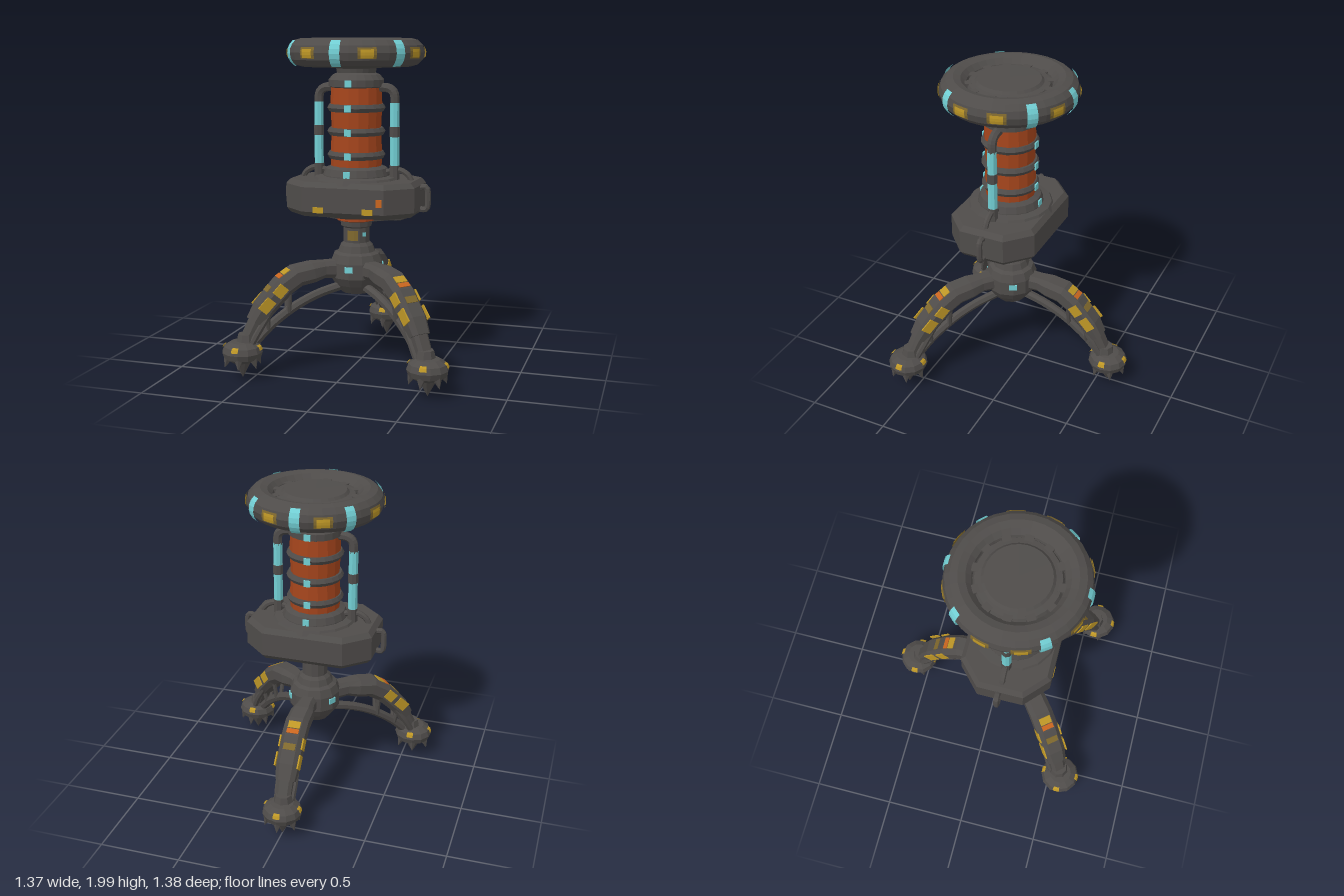
import * as THREE from 'three';

const mat = (name, color) => Object.assign(new THREE.MeshStandardMaterial({ color, flatShading: true, side: THREE.DoubleSide }), { name });
const dark = mat('dark metal', 0x4f4c4a);
const rust = mat('rust red', 0xa5451c);
const cyan = mat('cyan glow', 0x72cfd4);
const yellow = mat('worn yellow', 0xbd9626);
const dull = mat('faded yellow', 0x80692e);
const orange = mat('orange', 0xc8651f);

function add(parent, name, geo, material, x = 0, y = 0, z = 0) {
  const m = new THREE.Mesh(geo, material);
  m.name = name;
  m.position.set(x, y, z);
  parent.add(m);
  return m;
}
// Turned part from [radius, height] pairs, optionally only a sector centred on phi (0 = front)
function turned(parent, name, pts, material, seg = 24, phi = null, width = 0) {
  const v = pts.map(p => new THREE.Vector2(p[0], p[1]));
  const geo = phi === null ? new THREE.LatheGeometry(v, seg) : new THREE.LatheGeometry(v, seg, phi - width / 2, width);
  return add(parent, name, geo, material);
}
function pipe(parent, name, pts, r) {
  const c = new THREE.CatmullRomCurve3(pts.map(p => new THREE.Vector3(...p)), false, 'centripetal');
  return add(parent, name, new THREE.TubeGeometry(c, pts.length * 3, r, 7), dark);
}
// Octagonal loft in the z-y plane; stations are [z, y, halfWidth, halfThickness]
function loft(stations) {
  const pos = [], idx = [], n = 8;
  const oct = [[1, .5], [.6, 1], [-.6, 1], [-1, .5], [-1, -.5], [-.6, -1], [.6, -1], [1, -.5]];
  stations.forEach(([z, y, w, t], i) => {
    const a = stations[Math.max(0, i - 1)], b = stations[Math.min(stations.length - 1, i + 1)];
    const len = Math.hypot(b[0] - a[0], b[1] - a[1]), dz = (b[0] - a[0]) / len, dy = (b[1] - a[1]) / len;
    oct.forEach(([u, v]) => pos.push(u * w, y + v * t * dz, z - v * t * dy));
    if (i) for (let k = 0; k < n; k++) {
      const p = (i - 1) * n + k, q = (i - 1) * n + (k + 1) % n;
      idx.push(p, q, p + n, q, q + n, p + n);
    }
  });
  const last = (stations.length - 1) * n;
  for (let k = 1; k < n - 1; k++) idx.push(0, k + 1, k, last, last + k, last + k + 1);
  const g = new THREE.BufferGeometry();
  g.setAttribute('position', new THREE.Float32BufferAttribute(pos, 3));
  g.setIndex(idx);
  g.computeVertexNormals();
  return g;
}
// Points on the rounded rim of the head, from tube angle a to b in degrees
function rimArc(a, b, grow, n) {
  return Array.from({ length: n + 1 }, (_, i) => {
    const t = (a + (b - a) * i / n) * Math.PI / 180;
    return [0.322 + Math.cos(t) * (0.083 + grow), 1.905 + Math.sin(t) * (0.083 + grow)];
  });
}

function buildHead(g) {
  turned(g, 'headRing', rimArc(-180, 180, 0, 12), dark, 32);
  turned(g, 'headDish', [[0, 1.845], [0.16, 1.845], [0.25, 1.885], [0.25, 1.92], [0.235, 1.95], [0.2, 1.955], [0.185, 1.97], [0, 1.975]], dark, 28);
  turned(g, 'underGlow', [[0.15, 1.83], [0.21, 1.842], [0.275, 1.872]], cyan, 28);
  turned(g, 'grooveFloor', [[0.235, 1.89], [0.275, 1.89]], dark, 28);
  for (let i = 0; i < 12; i++) {
    const a = i * Math.PI / 6;
    add(g, 'headBracket', new THREE.BoxGeometry(0.05, 0.025, 0.06), dark, Math.sin(a) * 0.245, 1.94, Math.cos(a) * 0.245).rotation.y = a;
  }
  for (const d of [0, 55, -55, 134, -134, 180])
    turned(g, 'rimLight', rimArc(-58, 52, 0.008, 6), cyan, 3, d * Math.PI / 180, 0.15);
  // Faded patches with a brighter middle
  for (const d of [26, 74, 106, 157]) for (const s of [1, -1]) {
    const phi = s * d * Math.PI / 180;
    turned(g, 'rimMarkEdge', rimArc(-22, 22, 0.004, 3), dull, 3, phi, 0.27);
    turned(g, 'rimMark', rimArc(-18, 14, 0.007, 3), yellow, 3, phi, 0.18);
  }
}

function buildColumn(g) {
  turned(g, 'core', [[0.15, 1.18], [0.155, 1.3], [0.148, 1.45], [0.155, 1.6], [0.15, 1.72]], rust, 16);
  turned(g, 'topCollar', [[0.14, 1.695], [0.165, 1.705], [0.165, 1.745], [0.14, 1.775], [0.115, 1.785], [0.12, 1.81], [0.15, 1.84]], dark, 20);
  turned(g, 'bottomCollar', [[0.2, 1.15], [0.2, 1.18], [0.185, 1.22], [0.15, 1.235]], dark, 20);
  for (const y of [1.3, 1.44, 1.58]) {
    const ring = add(g, 'coreRing', new THREE.TorusGeometry(0.148, 0.026, 6, 20), dark, 0, y, 0);
    ring.rotation.x = Math.PI / 2;
  }
  for (const y of [1.195, 1.3, 1.44, 1.58, 1.725]) for (const s of [1, -1])
    add(g, 'ringLight', new THREE.BoxGeometry(0.04, 0.04, 0.009), cyan, 0, y, s * (y < 1.2 ? 0.195 : y > 1.7 ? 0.164 : 0.172));
  // Side tubes with glowing sections
  for (const s of [1, -1]) {
    pipe(g, 'tubeElbow', [[s * 0.13, 1.7, 0], [s * 0.2, 1.695, 0], [s * 0.23, 1.67, 0], [s * 0.237, 1.6, 0]], 0.028);
    for (const [y0, y1, m] of [[1.24, 1.41, cyan], [1.41, 1.47, dark], [1.47, 1.61, cyan], [1.13, 1.24, dark]]) {
      const r = m === cyan ? 0.029 : 0.032;
      add(g, m === cyan ? 'glowTube' : 'tubeSleeve', new THREE.CylinderGeometry(r, r, y1 - y0, 8), m, s * 0.237, (y0 + y1) / 2, 0);
    }
    pipe(g, 'tubeFoot', [[s * 0.19, 1.2, 0], [s * 0.26, 1.215, 0], [s * 0.32, 1.185, 0], [s * 0.35, 1.13, 0]], 0.018);
  }
}

function buildBody(g) {
  // Elongated octagonal housing
  const outline = [[0.37, -0.13], [0.37, 0.13], [0.24, 0.25], [-0.24, 0.25], [-0.37, 0.13], [-0.37, -0.13], [-0.24, -0.25], [0.24, -0.25]];
  const shape = new THREE.Shape(outline.map(p => new THREE.Vector2(...p)));
  const geo = new THREE.ExtrudeGeometry(shape, { depth: 0.145, bevelThickness: 0.03, bevelSize: 0.026, bevelSegments: 1 });
  geo.rotateX(-Math.PI / 2);
  add(g, 'housing', geo, dark, 0, 0.982, 0);
  turned(g, 'housingCap', [[0.27, 1.14], [0.25, 1.17], [0.17, 1.18]], dark, 16);
  for (const s of [1, -1]) {
    pipe(g, 'handle', [[s * 0.38, 1.11, -0.01], [s * 0.43, 1.115, -0.01], [s * 0.44, 1.05, -0.01], [s * 0.43, 0.985, -0.01], [s * 0.38, 0.985, -0.01]], 0.018);
    pipe(g, 'lowerPipe', [[s * 0.32, 0.97, 0], [s * 0.29, 0.935, 0], [s * 0.2, 0.925, 0], [s * 0.08, 0.91, 0]], 0.02);
    add(g, 'housingMark', new THREE.BoxGeometry(0.065, 0.035, 0.008), yellow, s * 0.15, 0.995, 0.275);
  }
  add(g, 'housingLight', new THREE.BoxGeometry(0.035, 0.045, 0.008), orange, 0.22, 1.05, 0.276);
  // Neck and hub
  turned(g, 'lowerPlate', [[0.11, 0.925], [0.17, 0.93], [0.22, 0.96]], dark, 16);
  turned(g, 'neckBand', [[0.1, 0.9], [0.122, 0.907], [0.122, 0.928], [0.1, 0.933]], rust, 16);
  turned(g, 'neck', [[0.12, 0.7], [0.1, 0.75], [0.08, 0.77], [0.08, 0.86], [0.095, 0.87], [0.1, 0.91]], dark, 12);
  turned(g, 'neckMark', [[0.084, 0.785], [0.084, 0.845]], dull, 3, 0, 0.8);
  turned(g, 'neckLight', [[0.084, 0.81], [0.084, 0.835]], cyan, 2, 0.9, 0.3);
  turned(g, 'hub', [[0, 0.455], [0.09, 0.46], [0.13, 0.51], [0.16, 0.56], [0.16, 0.65], [0.14, 0.7], [0.09, 0.725], [0, 0.73]], dark, 12);
  // Hub lights sit between the legs
  for (const a of [0, 2.09, -2.09])
    add(g, 'hubLight', new THREE.BoxGeometry(0.05, 0.035, 0.009), cyan, Math.sin(a) * 0.159, 0.62, Math.cos(a) * 0.159).rotation.y = a;
}

// Leg built along +z, foot at z = reach, then turned by angle
function buildLeg(reach, angle) {
  const leg = new THREE.Group();
  leg.name = 'leg';
  leg.rotation.y = angle;
  const limb = new THREE.Group();
  limb.name = 'limb';
  limb.scale.z = reach / 0.675;
  leg.add(limb);
  add(limb, 'upperLeg', loft([[0.1, 0.61, 0.055, 0.055], [0.2, 0.615, 0.055, 0.05], [0.27, 0.605, 0.07, 0.06], [0.36, 0.59, 0.072, 0.062],
    [0.44, 0.535, 0.072, 0.06], [0.55, 0.41, 0.07, 0.055], [0.6, 0.33, 0.06, 0.045]]), dark);
  add(limb, 'shin', loft([[0.59, 0.35, 0.05, 0.035], [0.655, 0.21, 0.045, 0.035]]), dark);
  pipe(limb, 'strut', [[0, 0.5, 0.1], [0, 0.465, 0.23], [0, 0.4, 0.37], [0, 0.3, 0.51], [0, 0.21, 0.6]], 0.028);
  for (const s of [1, -1]) {
    pipe(limb, 'shinRail', [[s * 0.045, 0.4, 0.52], [s * 0.05, 0.3, 0.585], [s * 0.045, 0.2, 0.64]], 0.02);
    pipe(limb, 'brace', [[s * 0.035, 0.49, 0.41], [s * 0.015, 0.37, 0.41]], 0.014);
    pipe(limb, 'brace', [[s * 0.035, 0.38, 0.54], [s * 0.015, 0.28, 0.53]], 0.014);
    for (const [z, y, l] of [[0.472, 0.517, 0.07], [0.55, 0.438, 0.085]])
      add(limb, 'legSideMark', new THREE.BoxGeometry(0.009, 0.062, l), yellow, s * 0.0715, y, z).rotation.x = 0.83;
  }
  // Marks along the top of the leg
  for (const [z, y, l, tilt, m] of [[0.424, 0.619, 0.045, 0.614, yellow], [0.459, 0.5945, 0.03, 0.614, orange], [0.526, 0.525, 0.04, 0.876, dull]])
    add(limb, 'legTopMark', new THREE.BoxGeometry(0.075, 0.009, l), m, 0, y, z).rotation.x = tilt;

  const foot = new THREE.Group();
  foot.name = 'foot';
  foot.position.z = reach;
  leg.add(foot);
  turned(foot, 'footPad', [[0, 0.1], [0.07, 0.1], [0.11, 0.125], [0.122, 0.16], [0.11, 0.195], [0.07, 0.22], [0, 0.225]], dark, 12);
  add(foot, 'ankle', new THREE.CylinderGeometry(0.05, 0.065, 0.06, 8), dark, 0, 0.235, -0.025);
  add(foot, 'mainSpike', new THREE.ConeGeometry(0.065, 0.12, 8), dark, 0, 0.06, 0).rotation.x = Math.PI;
  for (let i = 0; i < 6; i++) {
    const pivot = new THREE.Group();
    pivot.name = 'toe';
    pivot.rotation.y = i * Math.PI / 3;
    foot.add(pivot);
    add(pivot, 'toeSpike', new THREE.ConeGeometry(0.036, 0.08, 6), dark, 0, 0.108, 0.096).rotation.x = Math.PI - 0.35;
  }
  // Foot marks face the four sides of the model
  for (let i = 0; i < 4; i++)
    turned(foot, 'footMark', [[0.122, 0.178], [0.114, 0.197], [0.1, 0.206]], yellow, 3, i * Math.PI / 2 - angle, 0.36);
  return leg;
}

export function createModel() {
  const model = new THREE.Group();
  model.name = 'tripodDevice';
  const axis = new THREE.Group();
  axis.name = 'body';
  axis.position.z = 0.112;
  model.add(axis);
  buildHead(axis);
  buildColumn(axis);
  buildBody(axis);
  // One leg to the back and two splayed to the front
  for (const [x, z] of [[0, -0.677], [0.562, 0.458], [-0.562, 0.458]])
    axis.add(buildLeg(Math.hypot(x, z), Math.atan2(x, z)));
  return model;
}
